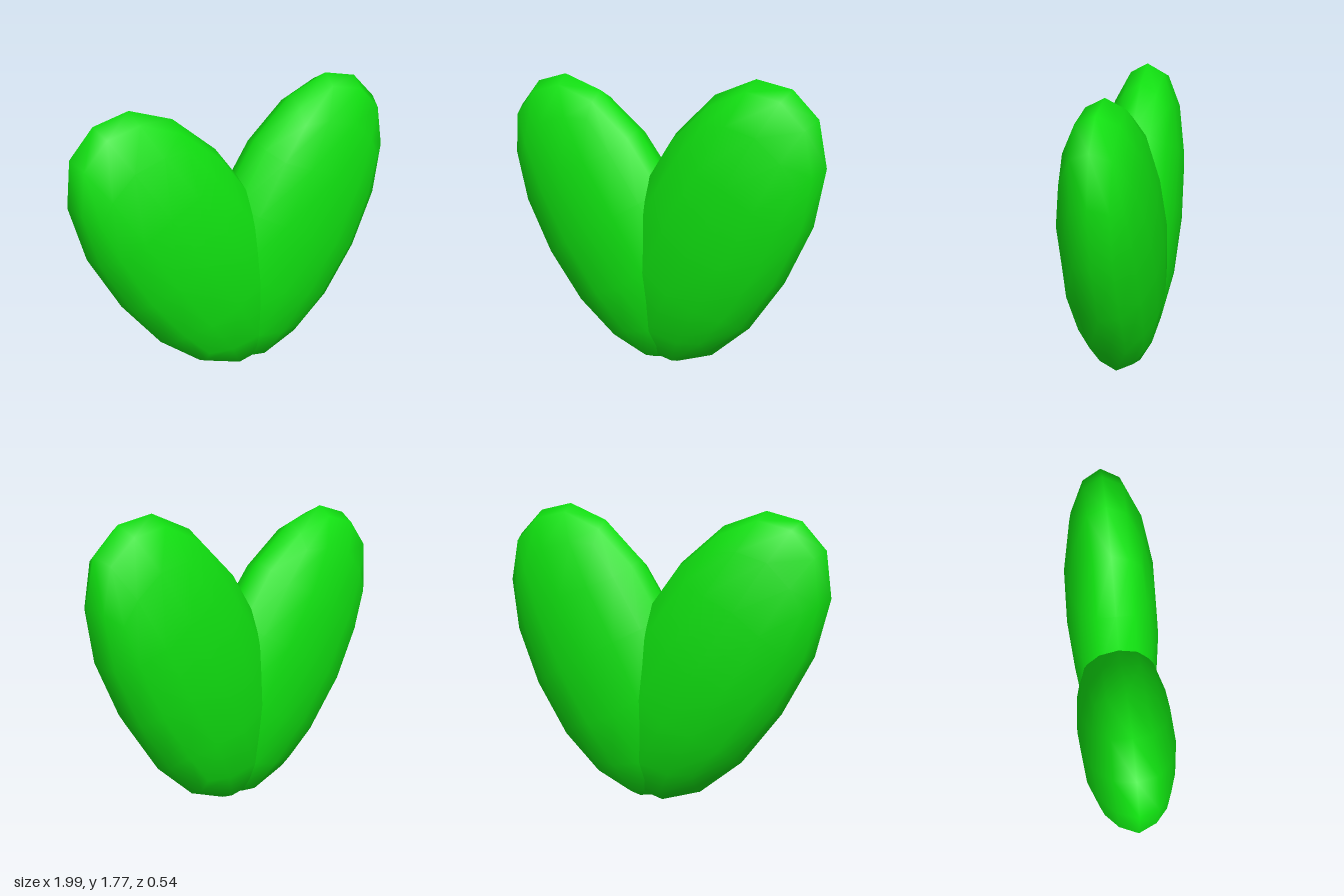
import * as THREE from 'three';
import { mergeVertices } from 'three/addons/utils/BufferGeometryUtils.js';

// Rounded positions of a 4x4-per-side subdivided cube, by grid level (0, 1, 2) sorted ascending
const ROUNDED = {
  '002': [0, 0, 1],
  '012': [0, 0.4, 0.938],
  '022': [0, 0.73, 0.73],
  '112': [0.375, 0.375, 0.88],
  '122': [0.355, 0.68, 0.68],
  '222': [0.597, 0.597, 0.597],
};

// Low-poly ball made from a subdivided cube, stretched to the given half sizes
function ballGeometry(halfSize) {
  let geo = new THREE.BoxGeometry(4, 4, 4, 4, 4, 4);
  geo.deleteAttribute('uv');
  geo.deleteAttribute('normal');
  geo = mergeVertices(geo);
  const pos = geo.attributes.position;
  for (let i = 0; i < pos.count; i++) {
    const p = [pos.getX(i), pos.getY(i), pos.getZ(i)].map(Math.round);
    const levels = p.map(Math.abs).sort();
    const row = ROUNDED[levels.join('')];
    const q = p.map((v, k) => Math.sign(v) * row[levels.indexOf(Math.abs(v))] * halfSize[k]);
    pos.setXYZ(i, ...q);
  }
  geo.computeVertexNormals();
  return geo;
}

export function createModel() {
  const model = new THREE.Group();
  const green = new THREE.MeshStandardMaterial({ color: 0x10e010 });
  const geo = ballGeometry([0.495, 0.947, 0.272]);

  // Two leaning lobes that overlap in the middle
  const addLobe = (name, x, y, tiltDegrees) => {
    const lobe = new THREE.Mesh(geo, green);
    lobe.name = name;
    lobe.position.set(x, y, 0);
    lobe.rotation.z = THREE.MathUtils.degToRad(tiltDegrees);
    model.add(lobe);
  };
  addLobe('rightLobe', -0.322, 0.853, 32.4);
  addLobe('leftLobe', 0.36, 0.885, -27);
  return model;
}
